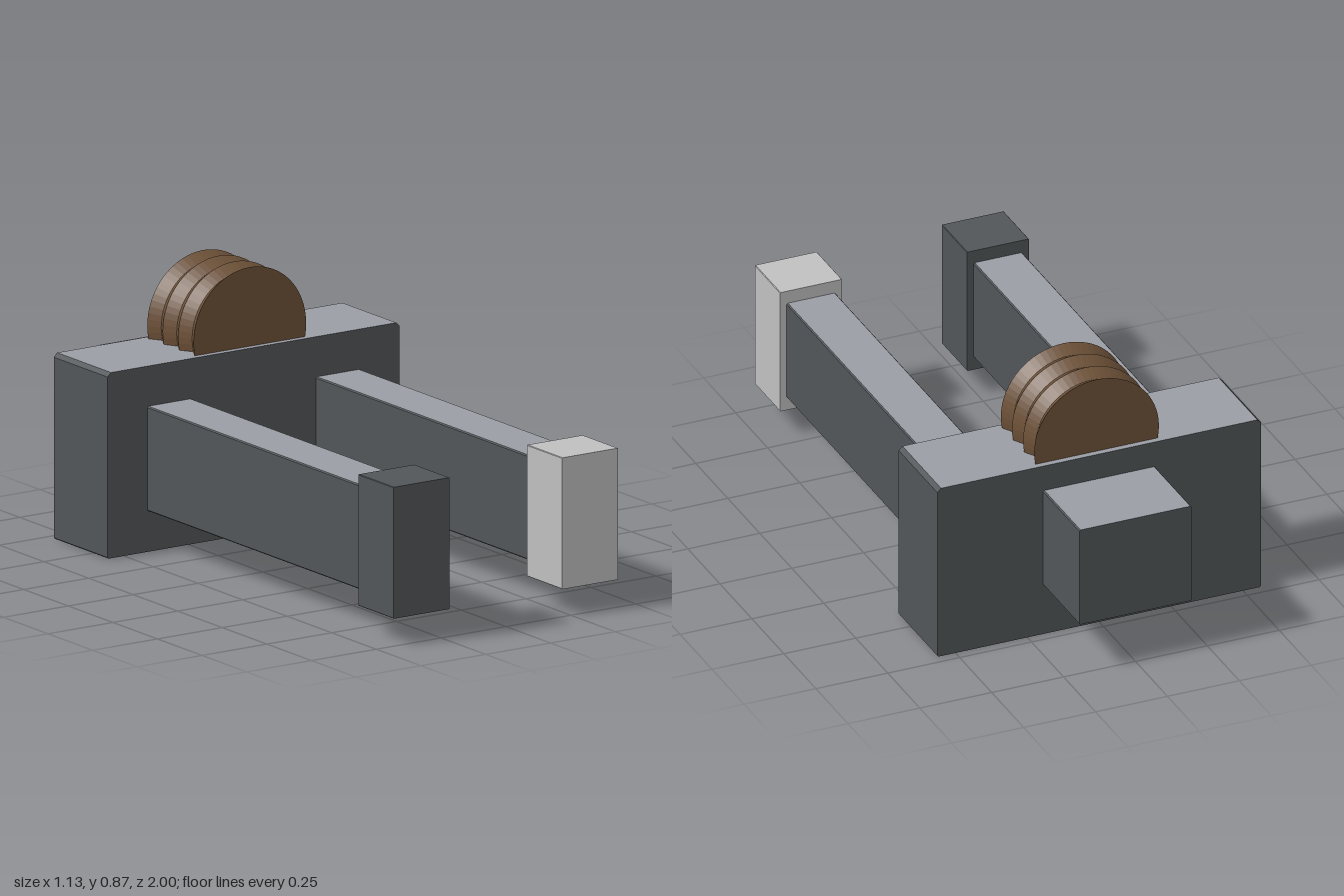
import * as THREE from 'three';

const paint = (name, color) => {
  const m = new THREE.MeshStandardMaterial({ color });
  m.name = name;
  return m;
};

// Prism along z with chamfered long edges; c is the top chamfer, b the bottom one
function prism(x0, x1, y0, y1, z0, z1, c = 0.004, b = 0.004) {
  const shape = new THREE.Shape([
    [x0 + b, y0], [x1 - b, y0], [x1, y0 + b], [x1, y1 - c],
    [x1 - c, y1], [x0 + c, y1], [x0, y1 - c], [x0, y0 + b],
  ].map(([x, y]) => new THREE.Vector2(x, y)));
  const geo = new THREE.ExtrudeGeometry(shape, { depth: z1 - z0, bevelEnabled: false });
  geo.translate(0, 0, z0);
  geo.clearGroups();
  return geo;
}

// Material 0 on the walls, material 1 on the faces that point up or down
function groupByFacing(geo) {
  const normal = geo.attributes.normal;
  for (let i = 0; i < normal.count; i += 3) {
    geo.addGroup(i, 3, Math.abs(normal.getY(i)) > 0.9 ? 1 : 0);
  }
  return geo;
}

export function createModel() {
  const dark = paint('dark grey', 0x525659);
  const light = paint('light grey', 0x9a9da5);
  const pale = paint('pale grey', 0xc0c0c0);
  const brown = paint('brown', 0x6e5239);

  const model = new THREE.Group();
  model.name = 'model';
  const add = (name, geo, material) => {
    const mesh = new THREE.Mesh(geo, material);
    mesh.name = name;
    model.add(mesh);
  };

  // Main block and the stub behind it
  add('body', groupByFacing(prism(-0.563, 0.563, 0, 0.61, -0.717, -0.415, 0.013)), [dark, light]);
  add('rearStub', groupByFacing(prism(-0.195, 0.195, 0.177, 0.521, -1, -0.717)), [dark, light]);

  // Two arms with end blocks; the left end block is pale
  for (const [side, s, tip] of [['left', 1, pale], ['right', -1, dark]]) {
    const x = 0.325 * s;
    add(side + 'Arm', groupByFacing(prism(x - 0.085, x + 0.085, 0.134, 0.478, -0.415, 0.803)), [dark, light]);
    add(side + 'EndBlock', prism(x - 0.108, x + 0.108, 0.09, 0.522, 0.803, 1, 0.002, 0.002), tip);
  }

  // Grooved wheel, sunk into the top of the body
  const length = 0.26, steps = 6;
  const profile = [new THREE.Vector2(0, -length / 2)];
  for (let i = 0; i <= steps; i++) {
    profile.push(new THREE.Vector2(i % 2 ? 0.193 : 0.217, (i / steps - 0.5) * length));
  }
  profile.push(new THREE.Vector2(0, length / 2));
  const wheel = new THREE.LatheGeometry(profile, 64).toNonIndexed();
  wheel.computeVertexNormals();
  wheel.rotateX(Math.PI / 2);
  wheel.translate(0, 0.653, -0.566);
  add('groovedWheel', wheel, brown);

  return model;
}
